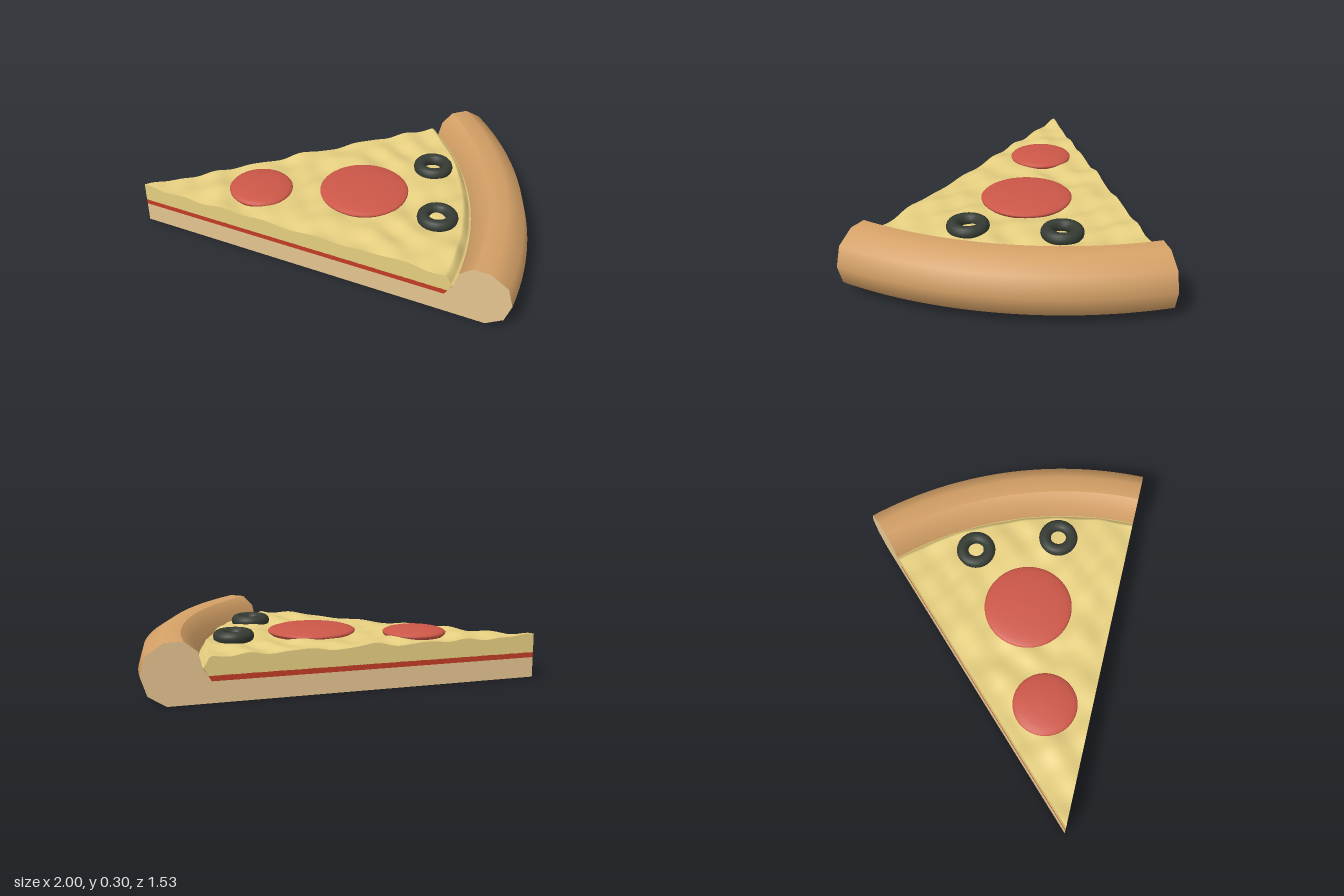
import * as THREE from 'three';
import { ParametricGeometry } from 'three/addons/geometries/ParametricGeometry.js';

const HALF = Math.PI / 8; // half of the wedge angle
const TIP = -1;           // x of the wedge tip

const mat = (name, color, side = THREE.FrontSide) => {
  const m = new THREE.MeshStandardMaterial({ color, side });
  m.name = name;
  return m;
};

// Flat sector with its tip at the origin
function sector(radius) {
  const s = new THREE.Shape();
  s.moveTo(0, 0);
  s.lineTo(radius * Math.cos(HALF), -radius * Math.sin(HALF));
  s.absarc(0, 0, radius, -HALF, HALF, false);
  s.lineTo(0, 0);
  return s;
}

// Bumpy height of the melted cheese, dipping beside the crust
function cheeseHeight(r, angle) {
  const x = r * Math.cos(angle), z = r * Math.sin(angle);
  const bumps = Math.sin(15 * x + 1.6 * Math.sin(9 * z) + 2) * Math.sin(14 * z + 1.7 * Math.sin(7 * x) + 0.8) * 0.011
    + Math.sin(27 * x + 11 * z) * Math.cos(25 * z - 9 * x) * 0.005;
  const dip = THREE.MathUtils.smoothstep(r, 1.675, 1.715);
  return THREE.MathUtils.lerp(0.222 + bumps, 0.17, dip);
}

export function createModel() {
  const group = new THREE.Group();
  const crustMat = mat('baked crust', 0xd4a066);
  const doughMat = mat('dough', 0xe4c491, THREE.DoubleSide);
  const sauceMat = mat('tomato sauce', 0xc23c26);
  const cheeseMat = mat('cheese', 0xe6cf80, THREE.DoubleSide);
  const sausageMat = mat('sausage', 0xcc5748);
  const oliveMat = mat('olive', 0x353b33);

  const add = (name, geometry, material, x = TIP, y = 0, z = 0) => {
    const mesh = new THREE.Mesh(geometry, material);
    mesh.name = name;
    mesh.position.set(x, y, z);
    group.add(mesh);
    return mesh;
  };
  const points = (list) => list.map(([x, y]) => new THREE.Vector2(x, y));

  // Crust rim swept round the tip, with a sharp edge along its inner top
  const outer = points([[1.885, 0], [1.97, 0.055], [2, 0.15], [1.972, 0.245], [1.885, 0.3], [1.797, 0.3]]);
  const inner = points([[1.797, 0.3], [1.735, 0.25], [1.715, 0.17], [1.69, 0.131]]);
  for (const [name, profile] of [['crustOuter', outer], ['crustInner', inner]]) {
    add(name, new THREE.LatheGeometry(profile, 48, Math.PI / 2 - HALF, 2 * HALF), crustMat);
  }

  // Dough: underside and the two cut faces
  add('doughUnderside', new THREE.ShapeGeometry(sector(1.885), 48).rotateX(Math.PI / 2), doughMat);
  const section = new THREE.Shape([
    new THREE.Vector2(0, 0), ...outer, ...inner.slice(1), ...points([[1.675, 0.105], [0, 0.105]]),
  ]);
  for (const side of [-1, 1]) {
    add('doughCutFace', new THREE.ShapeGeometry(section), doughMat).rotation.y = side * HALF;
  }

  // Sauce layer
  const sauce = new THREE.ExtrudeGeometry(sector(1.685), { depth: 0.027, bevelEnabled: false, curveSegments: 32 });
  add('sauce', sauce.rotateX(-Math.PI / 2), sauceMat, TIP, 0.105);

  // Cheese: bumpy top and the cut sides below it
  add('cheeseTop', new ParametricGeometry((u, v, p) => {
    const r = 1.715 * u, a = (1 - 2 * v) * HALF;
    p.set(r * Math.cos(a), cheeseHeight(r, a), r * Math.sin(a));
  }, 110, 50), cheeseMat);
  for (const side of [-1, 1]) {
    add('cheeseSide', new ParametricGeometry((u, v, p) => {
      const r = u * THREE.MathUtils.lerp(1.69, 1.715, v), a = side * HALF;
      p.set(r * Math.cos(a), THREE.MathUtils.lerp(0.131, cheeseHeight(r, a), v), r * Math.sin(a));
    }, 110, 2), cheeseMat);
  }

  // Gently domed sausage slices, sunk into the cheese
  for (const [x, radius] of [[-0.38, 0.165], [0.16, 0.23]]) {
    const profile = points([[0.94, 0.215], [0.99, 0.226], [1, 0.233], [0.97, 0.239], [0.88, 0.246], [0.7, 0.253], [0.4, 0.259], [0, 0.261]]);
    add('sausageSlice', new THREE.LatheGeometry(profile, 48).scale(radius, 1, radius), sausageMat, x);
  }

  // Olive rings
  for (const z of [-0.225, 0.225]) {
    const ring = new THREE.TorusGeometry(0.0725, 0.0315, 14, 36).rotateX(Math.PI / 2);
    add('oliveRing', ring, oliveMat, 0.53, 0.238, z);
  }

  return group;
}
